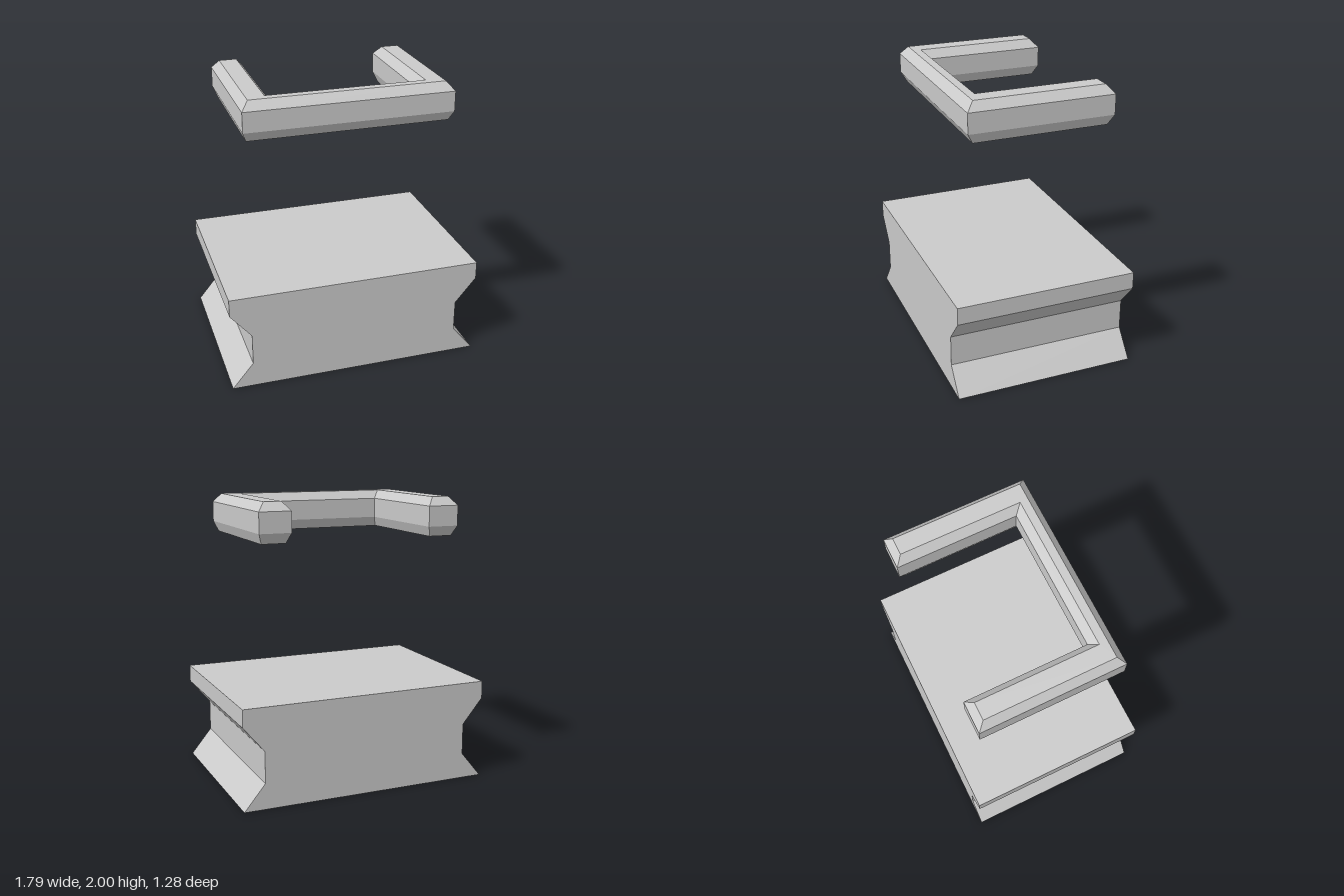
import * as THREE from 'three';

const material = new THREE.MeshStandardMaterial({ color: 0xcccccc, flatShading: true, side: THREE.DoubleSide });

function addMesh(group, name, geometry) {
  const mesh = new THREE.Mesh(geometry, material);
  mesh.name = name;
  group.add(mesh);
}

// U-shaped outline, open to the back, pulled in by ix and iz; counterclockwise from above
function outline(y, ix, iz) {
  const outer = 0.7225 - ix, inner = 0.5 + ix;
  const front = 0.49 - iz, innerFront = 0.328 + iz, back = -0.525 + iz;
  return [
    [-outer, front], [outer, front], [outer, back], [inner, back],
    [inner, innerFront], [-inner, innerFront], [-inner, back], [-outer, back],
  ].map(([x, z]) => new THREE.Vector3(x, y, z));
}

// Joins stacked outlines with flat sides and closes both ends
function loftSolid(loops) {
  const points = [];
  const n = loops[0].length;
  for (let k = 0; k < loops.length - 1; k++) {
    const low = loops[k], high = loops[k + 1];
    for (let i = 0; i < n; i++) {
      const j = (i + 1) % n;
      points.push(low[i], low[j], high[j], low[i], high[j], high[i]);
    }
  }
  const bottom = loops[0], top = loops[loops.length - 1];
  const flat = top.map((p) => new THREE.Vector2(p.x, -p.z));
  for (const [a, b, c] of THREE.ShapeUtils.triangulateShape(flat, [])) {
    points.push(top[a], top[b], top[c], bottom[c], bottom[b], bottom[a]);
  }
  const geometry = new THREE.BufferGeometry().setFromPoints(points);
  geometry.computeVertexNormals();
  return geometry;
}

export function createModel() {
  const group = new THREE.Group();

  // Block with a waisted groove along both sides
  const half = [[0.893, 0], [0.745, 0.18], [0.745, 0.4], [0.893, 0.577], [0.893, 0.7]];
  const mirrored = half.map(([x, y]) => [-x, y]).reverse();
  const profile = new THREE.Shape([...half, ...mirrored].map(([x, y]) => new THREE.Vector2(x, y)));
  const block = new THREE.ExtrudeGeometry(profile, { depth: 1.28, bevelEnabled: false });
  block.translate(0, 0, -0.64);
  addMesh(group, 'base', block);

  // Floating U-shaped rail with chamfered edges
  addMesh(group, 'rail', loftSolid([
    outline(1.73, 0.027, 0.04),
    outline(1.8, 0, 0),
    outline(1.94, 0, 0),
    outline(2, 0.05, 0.052),
  ]));

  return group;
}
